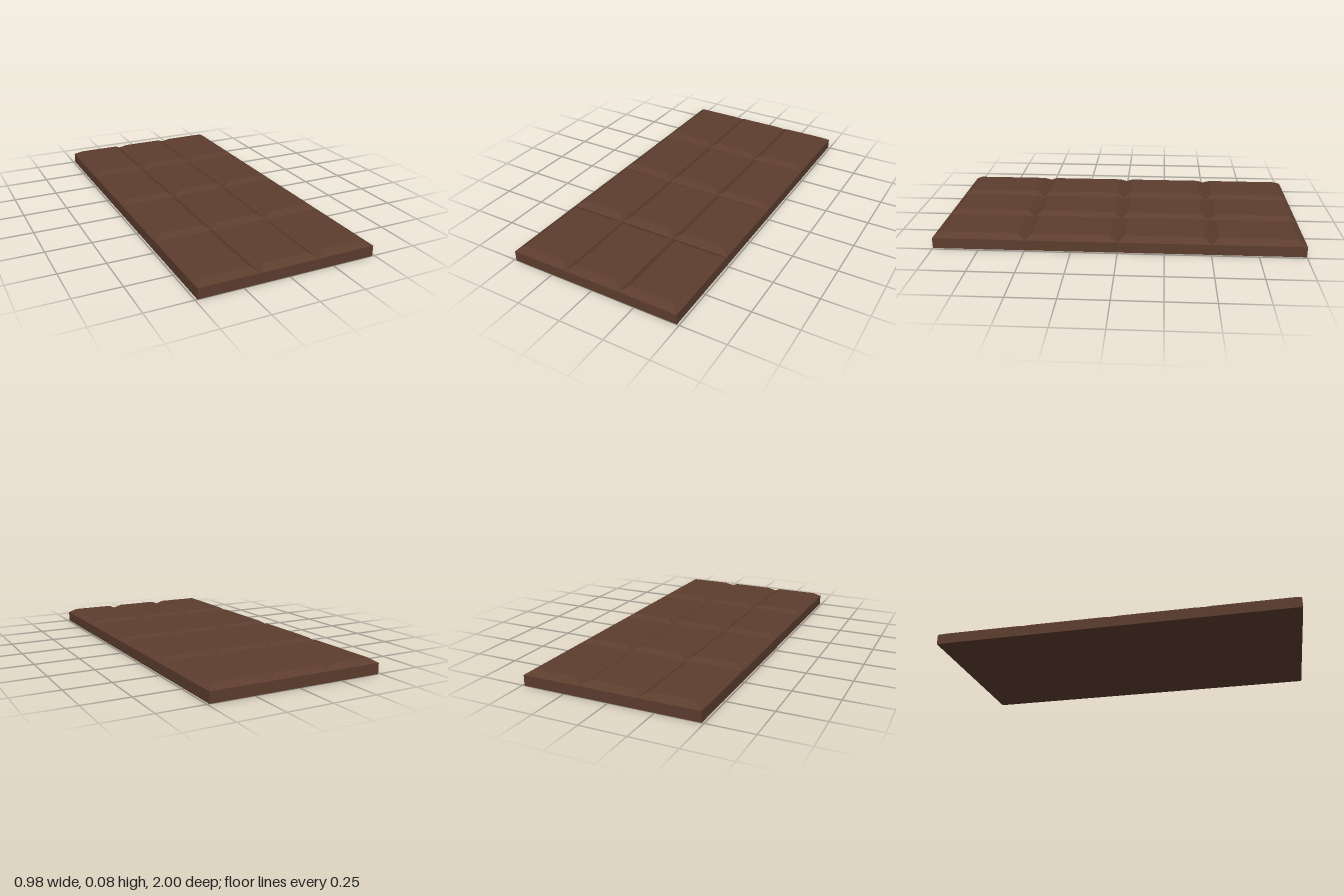
import * as THREE from 'three';

const WIDTH = 0.976, LENGTH = 2, BASE_H = 0.058, TOP_H = 0.083, BEVEL = 0.04;
const COLS = 3, ROWS = 4;

// Box standing on y = 0, with one hidden face (0..5 in +x -x +y -y +z -z order) left out
function openBox(w, h, d, hiddenFace) {
  const g = new THREE.BoxGeometry(w, h, d).translate(0, h / 2, 0);
  const index = Array.from(g.index.array);
  index.splice(hiddenFace * 6, 6);
  g.setIndex(index);
  g.clearGroups();
  return g;
}

// Raised square with its top edges pulled in to form the sloping sides
function pieceGeometry(w, h, d) {
  const g = openBox(w, h, d, 3);
  const p = g.attributes.position;
  for (let i = 0; i < p.count; i++) {
    if (p.getY(i) < h / 2) continue;
    p.setX(i, p.getX(i) - Math.sign(p.getX(i)) * BEVEL);
    p.setZ(i, p.getZ(i) - Math.sign(p.getZ(i)) * BEVEL);
  }
  const flat = g.toNonIndexed();
  flat.computeVertexNormals();
  return flat;
}

export function createModel() {
  const bar = new THREE.Group();
  bar.name = 'chocolateBar';
  const chocolate = new THREE.MeshStandardMaterial({ color: 0x5c3d2e, flatShading: true });

  // Slab under all the pieces
  const slab = new THREE.Mesh(openBox(WIDTH, BASE_H, LENGTH, 2), chocolate);
  slab.name = 'slab';
  bar.add(slab);

  // Grid of bevelled pieces, meeting in V-shaped grooves
  const w = WIDTH / COLS, d = LENGTH / ROWS;
  const geometry = pieceGeometry(w, TOP_H - BASE_H, d);
  for (let r = 0; r < ROWS; r++) {
    for (let c = 0; c < COLS; c++) {
      const piece = new THREE.Mesh(geometry, chocolate);
      piece.name = `piece row ${r + 1} column ${c + 1}`;
      piece.position.set((c - (COLS - 1) / 2) * w, BASE_H, (r - (ROWS - 1) / 2) * d);
      bar.add(piece);
    }
  }
  return bar;
}
